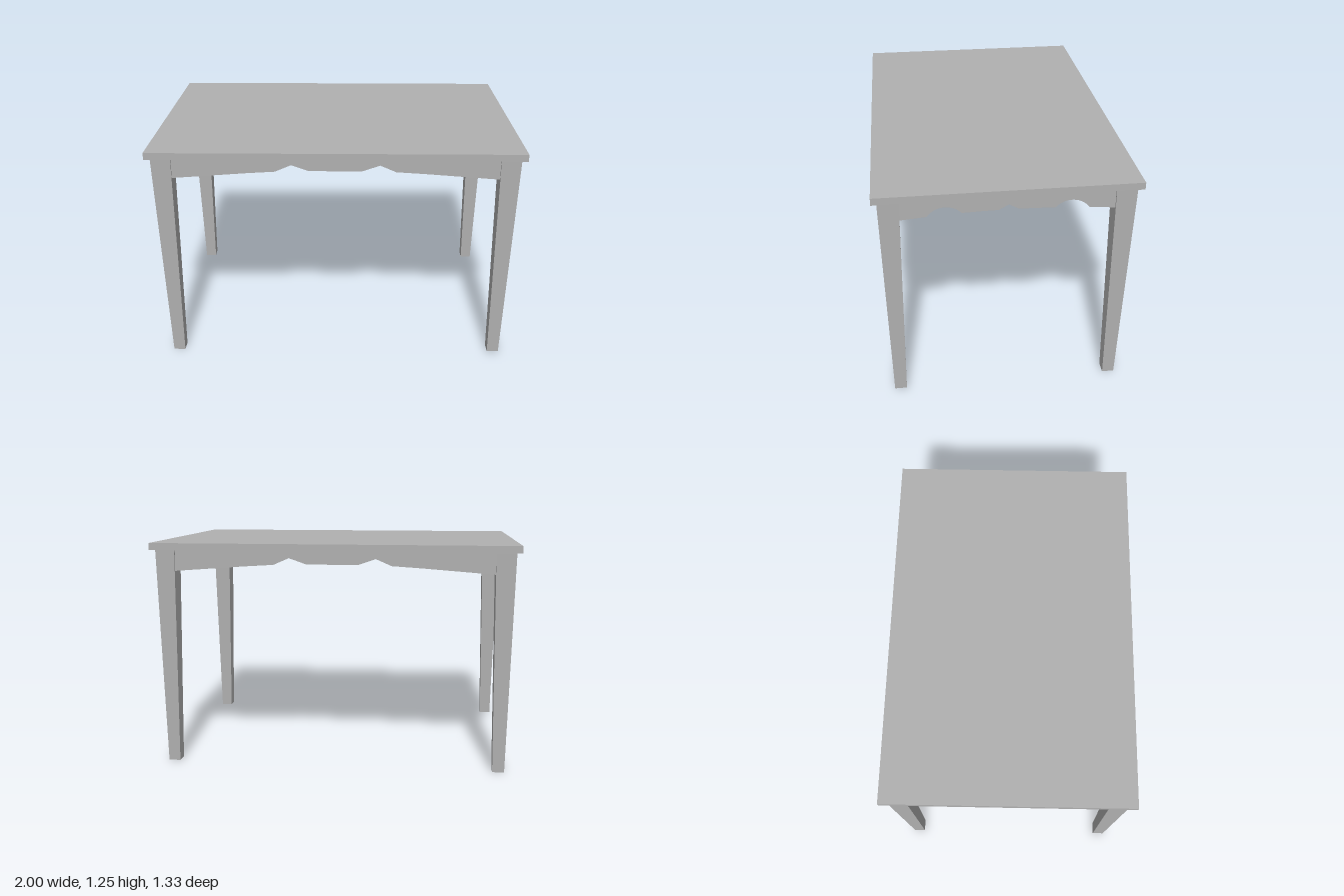
import * as THREE from 'three';

const TOP_Y = 1.212;        // underside of the tabletop
const LEG_X = 0.92, LEG_Z = 0.587;
const LEG_TOP = 0.0535, LEG_FOOT = 0.0325; // half widths

// Square leg, narrower at the foot
function legGeometry() {
  const g = new THREE.BoxGeometry(LEG_TOP * 2, TOP_Y, LEG_TOP * 2);
  g.translate(0, TOP_Y / 2, 0);
  const p = g.attributes.position;
  for (let i = 0; i < p.count; i++) {
    if (p.getY(i) < 0.01) {
      const s = LEG_FOOT / LEG_TOP;
      p.setX(i, p.getX(i) * s);
      p.setZ(i, p.getZ(i) * s);
    }
  }
  g.computeVertexNormals();
  return g;
}

// Apron board: half of the lower edge, listed from the middle outwards, is mirrored
function apronGeometry(half, thickness) {
  const left = half.map(([x, y]) => new THREE.Vector2(-x, y)).reverse();
  const right = half.map(([x, y]) => new THREE.Vector2(x, y));
  if (half[0][0] === 0) right.shift();
  const end = half[half.length - 1][0];
  const shape = new THREE.Shape([
    ...left, ...right,
    new THREE.Vector2(end, TOP_Y), new THREE.Vector2(-end, TOP_Y),
  ]);
  const g = new THREE.ExtrudeGeometry(shape, { depth: thickness, bevelEnabled: false });
  g.translate(0, 0, -thickness);
  return g;
}

export function createModel() {
  const table = new THREE.Group();
  table.name = 'table';
  const grey = new THREE.MeshStandardMaterial({ color: 0xb0b0b0 });
  grey.name = 'grey';

  const add = (name, geometry) => {
    const m = new THREE.Mesh(geometry, grey);
    m.name = name;
    table.add(m);
    return m;
  };

  // Tabletop
  add('tabletop', new THREE.BoxGeometry(2, 0.038, 1.334)).position.y = TOP_Y + 0.019;

  // Legs
  const leg = legGeometry();
  for (const [sx, side] of [[1, 'Left'], [-1, 'Right']]) {
    for (const [sz, end] of [[1, 'front'], [-1, 'back']]) {
      add(end + side + 'Leg', leg).position.set(sx * LEG_X, 0, sz * LEG_Z);
    }
  }

  // Long aprons with two pointed notches
  const longEdge = [
    [0.14, 1.139], [0.235, 1.172], [0.32, 1.135], [0.48, 1.125], [0.868, 1.096], [0.88, 1.095],
  ];
  // Short aprons with a middle notch and two round scallops
  const arc = [];
  const a0 = Math.atan2(0.0705, -0.082), a1 = Math.atan2(0.0595, 0.09);
  for (let i = 0; i <= 16; i++) {
    const a = a0 + (a1 - a0) * i / 16;
    arc.push([0.314 + 0.1075 * Math.cos(a), 1.0495 + 0.1075 * Math.sin(a)]);
  }
  const shortEdge = [[0, 1.152], [0.05, 1.124], [0.12, 1.123], ...arc, [0.536, 1.098], [0.547, 1.097]];

  const recess = 0.01, thickness = 0.026;
  const longApron = apronGeometry(longEdge, thickness);
  const shortApron = apronGeometry(shortEdge, thickness);
  const outZ = LEG_Z + LEG_TOP - recess, outX = LEG_X + LEG_TOP - recess;
  for (const s of [1, -1]) {
    const a = add(s > 0 ? 'frontApron' : 'backApron', longApron);
    a.position.z = s * outZ;
    a.rotation.y = s > 0 ? 0 : Math.PI;
    const b = add(s > 0 ? 'leftApron' : 'rightApron', shortApron);
    b.position.x = s * outX;
    b.rotation.y = s * Math.PI / 2;
  }
  return table;
}
